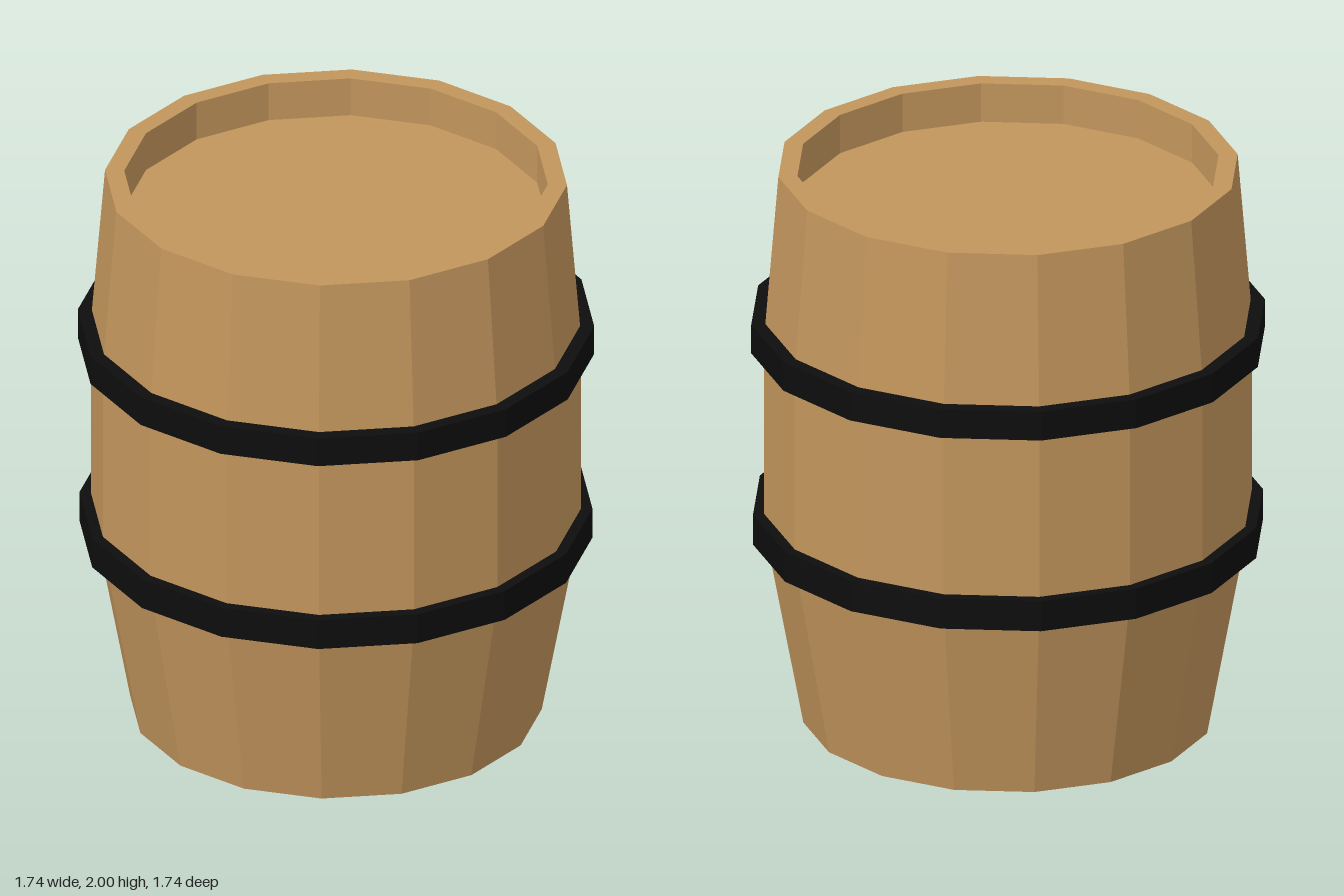
import * as THREE from 'three';

const SIDES = 16;

// Revolve an [r, y] profile into a faceted solid with a corner on each axis
function turned(name, profile, color) {
  const points = profile.map(([r, y]) => new THREE.Vector2(r, y));
  const material = new THREE.MeshStandardMaterial({ color, flatShading: true });
  const mesh = new THREE.Mesh(new THREE.LatheGeometry(points, SIDES), material);
  mesh.name = name;
  return mesh;
}

export function createModel() {
  const barrel = new THREE.Group();
  barrel.name = 'barrel';

  // Wooden body: recessed base, bulging staves, rim and sunken lid
  barrel.add(turned('woodenBody', [
    [0, 0.1], [0.58, 0.1], [0.58, 0],
    [0.695, 0], [0.828, 0.72], [0.828, 1.42], [0.78, 2],
    [0.715, 2], [0.715, 1.86], [0, 1.86],
  ], 0xc2955c));

  // Black hoops, one at each bend of the staves
  const hoops = [
    ['lowerHoop', 0.66, 0.77, 0.866],
    ['upperHoop', 1.36, 1.465, 0.872],
  ];
  for (const [name, y0, y1, r] of hoops) {
    const inner = 0.81;
    barrel.add(turned(name, [[inner, y0], [r, y0], [r, y1], [inner, y1], [inner, y0]], 0x0d0d0d));
  }

  return barrel;
}
